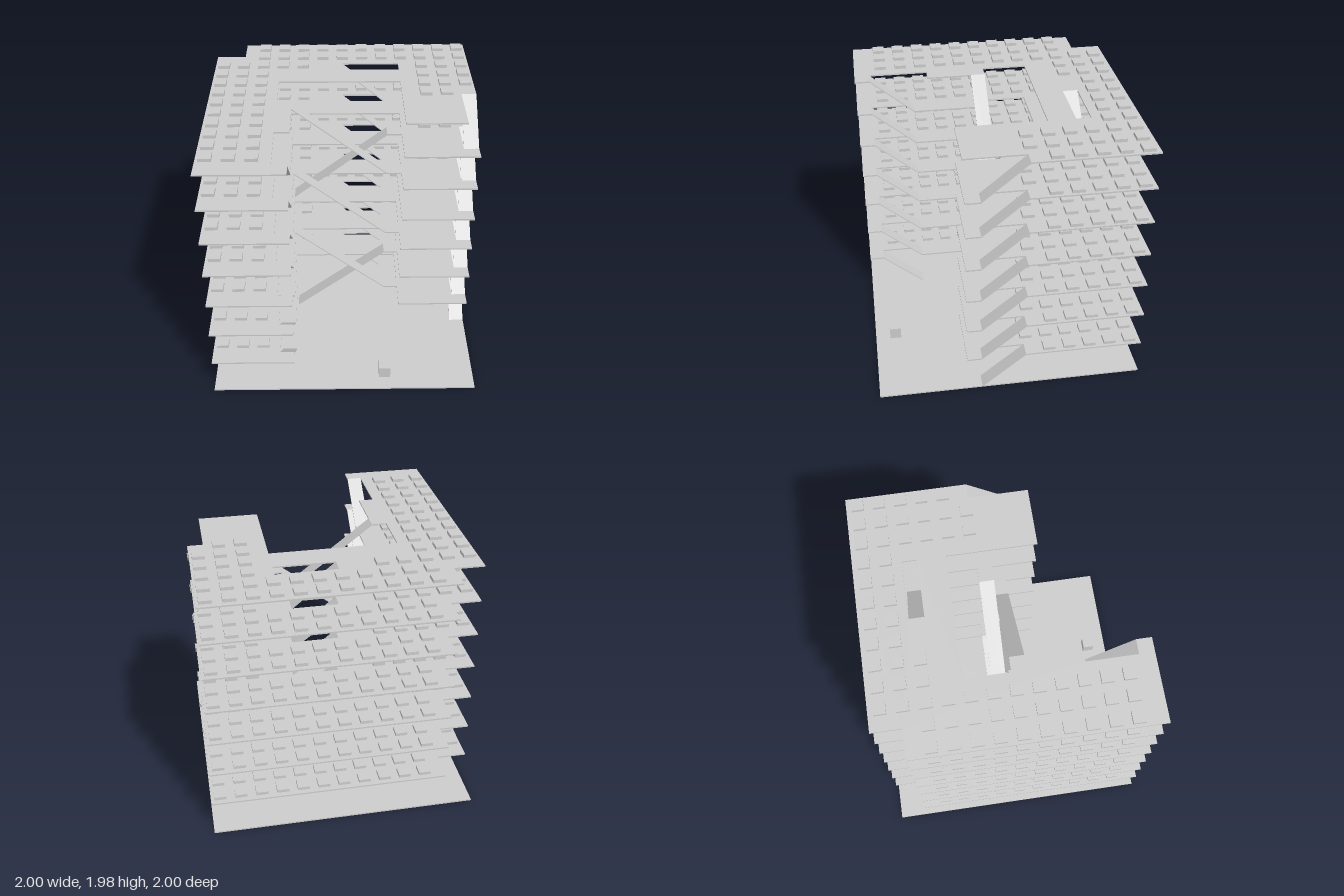
import * as THREE from 'three';

const STEP = 0.278;   // storey height
const SLAB = 0.011;   // slab thickness
const FLOORS = 7;
const material = new THREE.MeshStandardMaterial({ color: 0xcccccc, flatShading: true });

function add(parent, name, geometry, x = 0, y = 0, z = 0) {
  const mesh = new THREE.Mesh(geometry, material);
  mesh.name = name;
  mesh.position.set(x, y, z);
  parent.add(mesh);
  return mesh;
}

// Box given by its plan limits, standing on y
function block(parent, name, x0, x1, z0, z1, y, h) {
  return add(parent, name, new THREE.BoxGeometry(x1 - x0, h, z1 - z0),
    (x0 + x1) / 2, y + h / 2, (z0 + z1) / 2);
}

// Thin sloped ramp: a flat box sheared upwards from floor k0 to floor k1.
// 'from' and 'to' lie along the chosen axis; c0..c1 is its width across it.
function ramp(parent, name, axis, from, to, c0, c1, k0, k1) {
  const len = Math.abs(to - from), rise = (k1 - k0) * STEP;
  const geometry = new THREE.BoxGeometry(len, 0.009, c1 - c0);
  const p = geometry.attributes.position;
  for (let i = 0; i < p.count; i++) p.setY(i, p.getY(i) + p.getX(i) * rise / (to - from));
  if (axis === 'z') geometry.rotateY(-Math.PI / 2);
  geometry.computeVertexNormals();
  const mid = (from + to) / 2, across = (c0 + c1) / 2;
  const y = (k0 + k1) / 2 * STEP + SLAB - 0.0045;
  return axis === 'x' ? add(parent, name, geometry, mid, y, across)
    : add(parent, name, geometry, across, y, mid);
}

// Floor plan around the open front corner, with notches for the ramps
function slabGeometry() {
  const plan = [
    [-1, 1], [-0.38, 1], [-0.38, 0.888], [-0.49, 0.888], [-0.49, 0.444], [-0.38, 0.444],
    [-0.38, 0], [-0.49, 0], [-0.49, -0.333], [0.444, -0.333], [0.444, 0.333],
    [0.888, 0.333], [0.888, -0.111], [1, -0.111], [1, -1],
    [-0.778, -1], [-0.778, -0.778], [-1, -0.778],
  ];
  const toShape = ([x, z]) => new THREE.Vector2(x, -z);
  const shape = new THREE.Shape(plan.map(toShape));
  shape.holes.push(new THREE.Path(
    [[0, -0.537], [0, -0.648], [0.444, -0.648], [0.444, -0.537]].map(toShape)));
  return new THREE.ExtrudeGeometry(shape, { depth: SLAB, bevelEnabled: false })
    .rotateX(-Math.PI / 2);
}

// Which grid cells of a floor carry a unit
function hasUnit(col, row) {
  if (row < 2) return col >= 2;
  if (col < 3) return true;
  if (row === 2 && col < 5) return true;
  if (row < 5) return col >= 10;
  return row === 5 && (col === 10 || col === 11);
}

export function createModel() {
  const model = new THREE.Group();
  model.name = 'building';

  block(model, 'groundSlab', -1, 1, -1, 1, 0, SLAB);
  block(model, 'entranceBlock', 0.268, 0.355, 0.798, 0.886, SLAB, 0.094);

  const slab = slabGeometry();
  const unit = new THREE.BoxGeometry(0.089, 0.024, 0.089);
  for (let k = 1; k <= FLOORS; k++) {
    const floor = new THREE.Group();
    floor.name = `floor${k}`;
    floor.position.y = k * STEP;
    model.add(floor);
    add(floor, 'floorSlab', slab);

    // Units on a regular grid
    for (let row = 0; row < 12; row++)
      for (let col = 0; col < 13; col++)
        if (hasUnit(col, row))
          add(floor, 'unit', unit, -0.932 + col * 0.1556, SLAB + 0.012, -0.917 + row * 0.1556);

    // Landings at the feet of the ramps that leave this floor
    if (k < FLOORS) {
      block(floor, 'leftLanding', 0.888, 1, 0.222, 0.333, 0, SLAB);
      block(floor, 'rightLanding', -0.49, -0.38, 0.444, 0.555, 0, SLAB);
      block(floor, 'backLanding', 0.333, 0.444, -0.648, -0.537, 0, SLAB);
      // Landings of the central ramps
      if (k % 2) block(floor, 'centralLanding', 0.333, 0.444, 0, 0.108, 0, SLAB);
      else if (k === 4) block(floor, 'centralLanding', -0.49, -0.38, -0.111, 0, 0, SLAB);
      else block(floor, 'centralLanding', 0.333, 0.444, -0.111, 0, 0, SLAB);
    }
  }

  // Single-storey ramps on every level
  for (let k = 0; k < FLOORS; k++) {
    ramp(model, 'leftRamp', 'z', 0.222, -0.111, 0.888, 1, k, k + 1);
    ramp(model, 'rightRamp', 'z', 0.555, 0.888, -0.49, -0.38, k, k + 1);
    ramp(model, 'backRamp', 'x', 0.333, 0, -0.648, -0.537, k, k + 1);
  }

  // Two-storey ramps crossing the atrium
  for (const k of [1, 3, 5]) ramp(model, 'centralRamp', 'x', 0.333, -0.38, 0, 0.108, k, k + 2);
  for (const k of [0, 4]) ramp(model, 'centralRamp', 'x', -0.38, 0.333, -0.111, 0, k, k + 2);

  return model;
}
